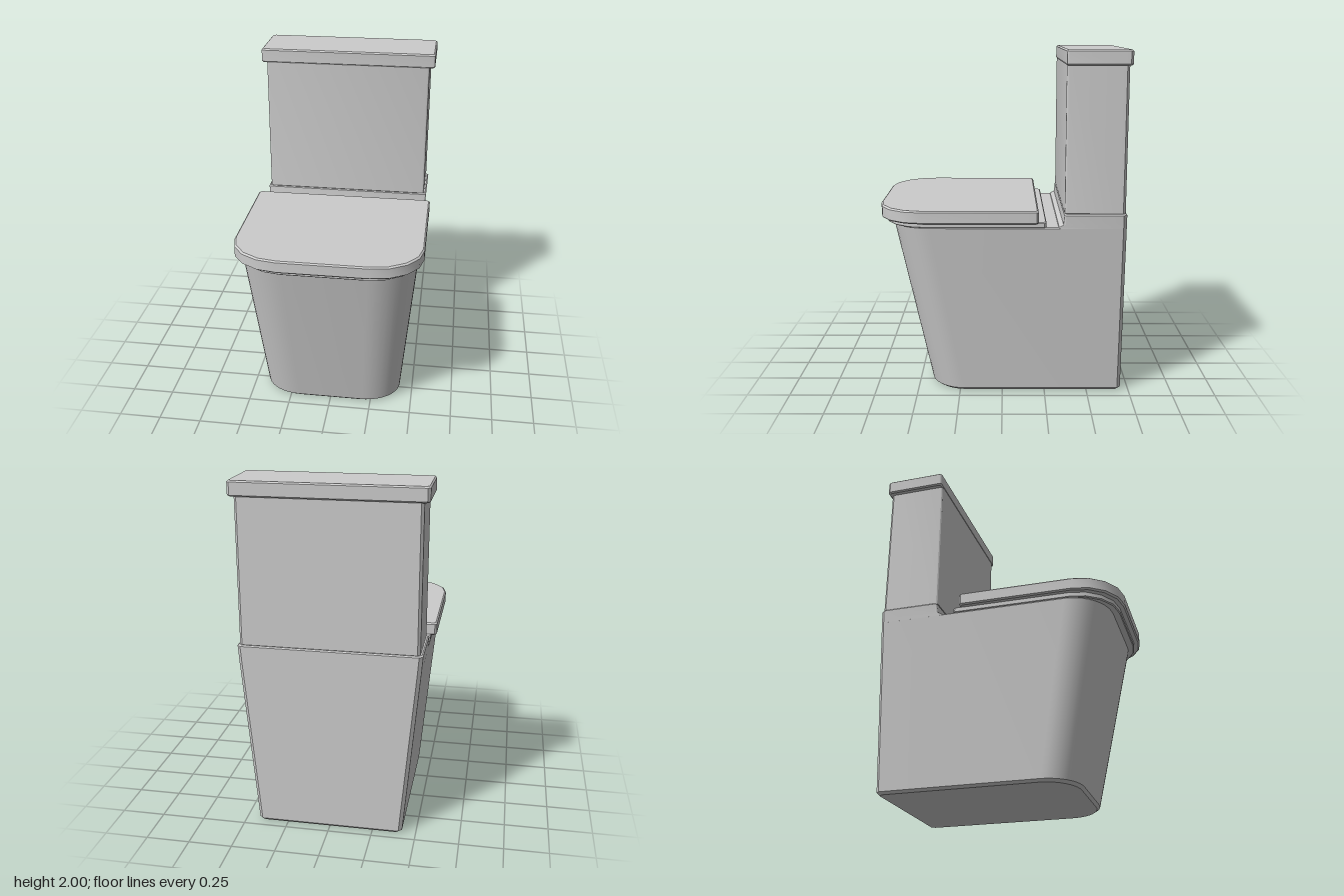
import * as THREE from 'three';
import { toCreasedNormals } from 'three/addons/utils/BufferGeometryUtils.js';

const material = new THREE.MeshStandardMaterial({ color: 0xcccccc });

// D-shaped outline: elliptical front corners (rx, rz), small chamfers (c) at the back
function outline({ w, front, back, rx, rz, c = 0.01, n = 4 }) {
  const half = [[w - c, back], [w, back + c]];
  for (let i = 0; i <= n; i++) {
    const a = (i / n) * Math.PI / 2;
    half.push([w - rx + rx * Math.cos(a), front - rz + rz * Math.sin(a)]);
  }
  return [...half, ...half.map(([x, z]) => [-x, z]).reverse()];
}

// Skin a stack of outlines, each at its own height y, and close both ends
function loft(name, sections, crease = 0.45) {
  const rings = sections.map((s) => outline(s).map(([x, z]) => [x, s.y, z]));
  const n = rings[0].length;
  const pos = rings.flat(2);
  const index = [];
  for (let k = 0; k < rings.length - 1; k++) {
    for (let i = 0; i < n; i++) {
      const j = (i + 1) % n;
      const a = k * n + i, b = k * n + j, d = a + n, e = b + n;
      index.push(a, d, e, a, e, b);
    }
  }
  const last = (rings.length - 1) * n;
  for (let i = 1; i < n - 1; i++) {
    index.push(0, i, i + 1);
    index.push(last, last + i + 1, last + i);
  }
  const geo = new THREE.BufferGeometry();
  geo.setAttribute('position', new THREE.Float32BufferAttribute(pos, 3));
  geo.setIndex(index);
  const mesh = new THREE.Mesh(toCreasedNormals(geo, crease), material);
  mesh.name = name;
  return mesh;
}

// Straight slab with a small bevel on its top and bottom edges
function slab(name, y0, y1, shape, bevel) {
  const inset = {
    ...shape, w: shape.w - bevel, front: shape.front - bevel, back: shape.back + bevel,
  };
  return loft(name, [
    { ...inset, y: y0 }, { ...shape, y: y0 + bevel },
    { ...shape, y: y1 - bevel }, { ...inset, y: y1 },
  ]);
}

export function createModel() {
  const group = new THREE.Group();
  group.name = 'toilet';

  // Tapered pedestal: upright back, sides and front leaning outward
  const pedestal = (y, inset = 0) => {
    const t = y / 1.015;
    return {
      y, w: 0.42 + 0.09 * t - inset, front: 0.422 + 0.216 * t - inset, back: -0.703 + inset,
      rx: 0.22 + 0.05 * t, rz: 0.19 + 0.04 * t, c: 0.02, n: 10,
    };
  };
  group.add(loft('pedestal', [
    pedestal(0, 0.013), pedestal(0.015), pedestal(1.009), pedestal(1.015, 0.006),
  ]));

  // Raised shelf under the tank, with a sloped foot on the deck side
  const shelf = (y, w, front, back = -0.703) =>
    ({ y, w, front, back, rx: 0.012, rz: 0.012, c: 0.02, n: 3 });
  group.add(loft('tankShelf', [
    shelf(1.005, 0.509, -0.315), shelf(1.02, 0.51, -0.32), shelf(1.034, 0.511, -0.345),
    shelf(1.085, 0.515, -0.35), shelf(1.092, 0.508, -0.357, -0.696),
  ]));

  // Seat ring and closed lid
  group.add(slab('seat', 1.012, 1.046,
    { w: 0.512, front: 0.677, back: -0.25, rx: 0.27, rz: 0.24, c: 0.012 }, 0.005));
  group.add(slab('seatLid', 1.04, 1.115,
    { w: 0.545, front: 0.71, back: -0.205, rx: 0.285, rz: 0.25, c: 0.012 }, 0.008));

  // Tank and its overhanging lid
  const box = { rx: 0.015, rz: 0.015, c: 0.015, n: 3 };
  group.add(slab('tank', 1.088, 1.925, { w: 0.5, front: -0.352, back: -0.695, ...box }, 0.006));
  group.add(slab('tankLid', 1.915, 2, { w: 0.532, front: -0.35, back: -0.71, ...box }, 0.008));

  return group;
}
